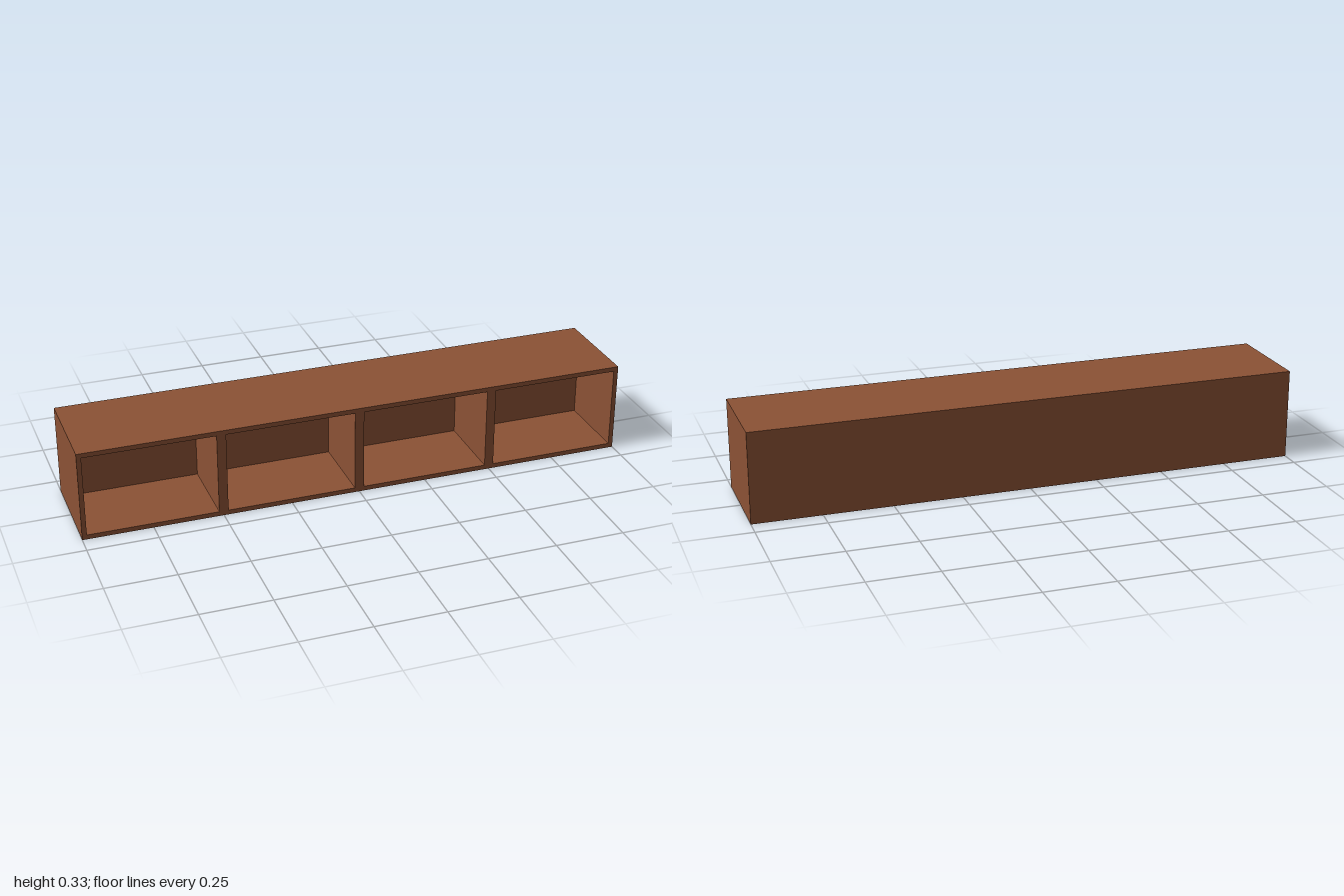
import * as THREE from 'three';

const WIDTH = 2, HEIGHT = 0.33, DEPTH = 0.36;
const WALL = 0.0167;      // board thickness
const BAYS = 4;
const BAY_DEPTH = 0.285;  // depth of each open compartment

function rectangle(PathType, x0, y0, x1, y1) {
  return new PathType([
    new THREE.Vector2(x0, y0), new THREE.Vector2(x1, y0),
    new THREE.Vector2(x1, y1), new THREE.Vector2(x0, y1),
  ]);
}

export function createModel() {
  const group = new THREE.Group();
  group.name = 'lowShelfUnit';
  const wood = new THREE.MeshStandardMaterial({ color: 0x8c5235 });
  wood.name = 'brown wood';

  // Carcass: outer boards and double dividers around four open bays
  const outline = rectangle(THREE.Shape, -WIDTH / 2, 0, WIDTH / 2, HEIGHT);
  const bayWidth = WIDTH / BAYS;
  for (let i = 0; i < BAYS; i++) {
    const x = -WIDTH / 2 + i * bayWidth;
    outline.holes.push(rectangle(THREE.Path, x + WALL, WALL, x + bayWidth - WALL, HEIGHT - WALL));
  }
  const carcass = new THREE.Mesh(
    new THREE.ExtrudeGeometry(outline, { depth: BAY_DEPTH, bevelEnabled: false }), wood);
  carcass.name = 'carcass';
  carcass.position.z = DEPTH / 2 - BAY_DEPTH;
  group.add(carcass);

  // Thick back closing the bays
  const backDepth = DEPTH - BAY_DEPTH;
  const back = new THREE.Mesh(new THREE.BoxGeometry(WIDTH, HEIGHT, backDepth), wood);
  back.name = 'backPanel';
  back.position.set(0, HEIGHT / 2, -DEPTH / 2 + backDepth / 2);
  group.add(back);

  return group;
}
